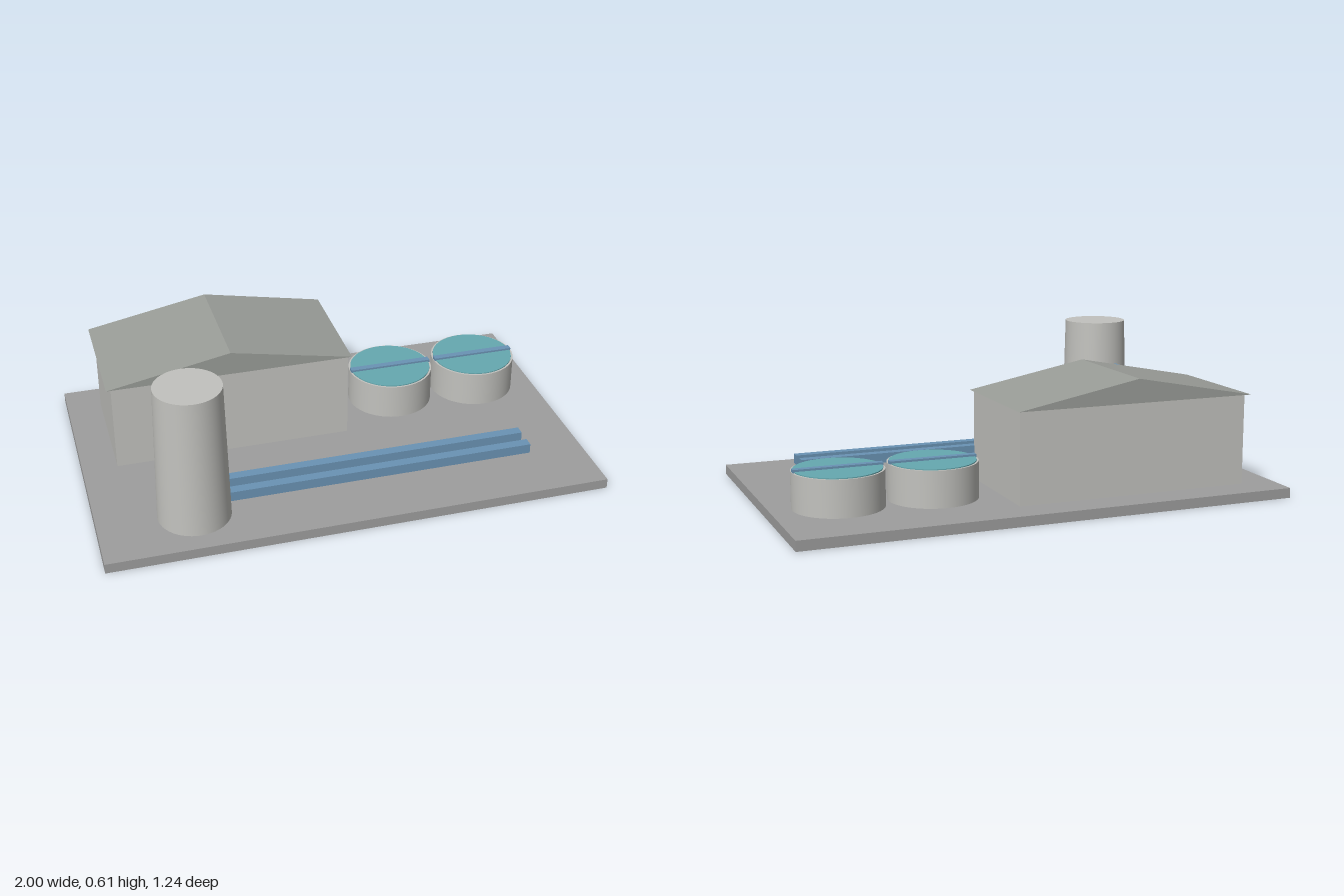
import * as THREE from 'three';

function material(name, color) {
  const m = new THREE.MeshStandardMaterial({ color });
  m.name = name;
  return m;
}

export function createModel() {
  const model = new THREE.Group();
  model.name = 'treatmentPlant';

  const slabGrey = material('slab grey', 0x9e9e9e);
  const concrete = material('pale concrete', 0xc2c2be);
  const roofGrey = material('roof grey', 0x9a9d98);
  const pipeBlue = material('pipe blue', 0x6a93b4);
  const waterTeal = material('water teal', 0x66a9b0);

  function add(name, geometry, mat, parent = model) {
    const mesh = new THREE.Mesh(geometry, mat);
    mesh.name = name;
    parent.add(mesh);
    return mesh;
  }

  // Box given by its extents along each axis
  function box(name, mat, [x0, x1], [y0, y1], [z0, z1], parent = model) {
    const mesh = add(name, new THREE.BoxGeometry(x1 - x0, y1 - y0, z1 - z0), mat, parent);
    mesh.position.set((x0 + x1) / 2, (y0 + y1) / 2, (z0 + z1) / 2);
    return mesh;
  }

  // Upright cylinder given by its bottom and top heights
  function cylinder(name, mat, rTop, rBottom, y0, y1, x, z, parent = model) {
    const mesh = add(name, new THREE.CylinderGeometry(rTop, rBottom, y1 - y0, 48), mat, parent);
    mesh.position.set(x, (y0 + y1) / 2, z);
    return mesh;
  }

  // Ground slab
  box('baseSlab', slabGrey, [-1, 1], [0, 0.04], [-0.618, 0.618]);

  // Hall with a gabled roof, ridge running front to back
  box('hallWalls', concrete, [-0.86, 0.105], [0.04, 0.405], [-0.482, 0]);
  const gable = new THREE.Shape([
    new THREE.Vector2(-0.88, 0.405),
    new THREE.Vector2(0.117, 0.405),
    new THREE.Vector2(-0.382, 0.5),
  ]);
  const roof = add('hallRoof', new THREE.ExtrudeGeometry(gable, { depth: 0.517, bevelEnabled: false }), roofGrey);
  roof.position.z = -0.5;

  // Tapered tower and the duct joining it to the hall
  cylinder('tower', concrete, 0.13, 0.143, 0.04, 0.61, -0.623, 0.398);
  box('towerDuct', pipeBlue, [-0.668, -0.577], [0.368, 0.428], [0.005, 0.29]);

  // Pair of ground pipes
  for (const z of [0.293, 0.383]) {
    box('groundPipe', pipeBlue, [-0.487, 0.755], [0.073, 0.113], [z - 0.02, z + 0.02]);
  }

  // Round settling tanks with water surface and bridge
  for (const x of [0.362, 0.738]) {
    const tank = new THREE.Group();
    tank.name = 'settlingTank';
    model.add(tank);
    cylinder('tankWall', concrete, 0.178, 0.178, 0.04, 0.186, x, -0.225, tank);
    cylinder('waterSurface', waterTeal, 0.17, 0.17, 0.182, 0.19, x, -0.225, tank);
    box('tankBridge', pipeBlue, [x - 0.175, x + 0.175], [0.185, 0.198], [-0.238, -0.211], tank);
  }

  return model;
}
